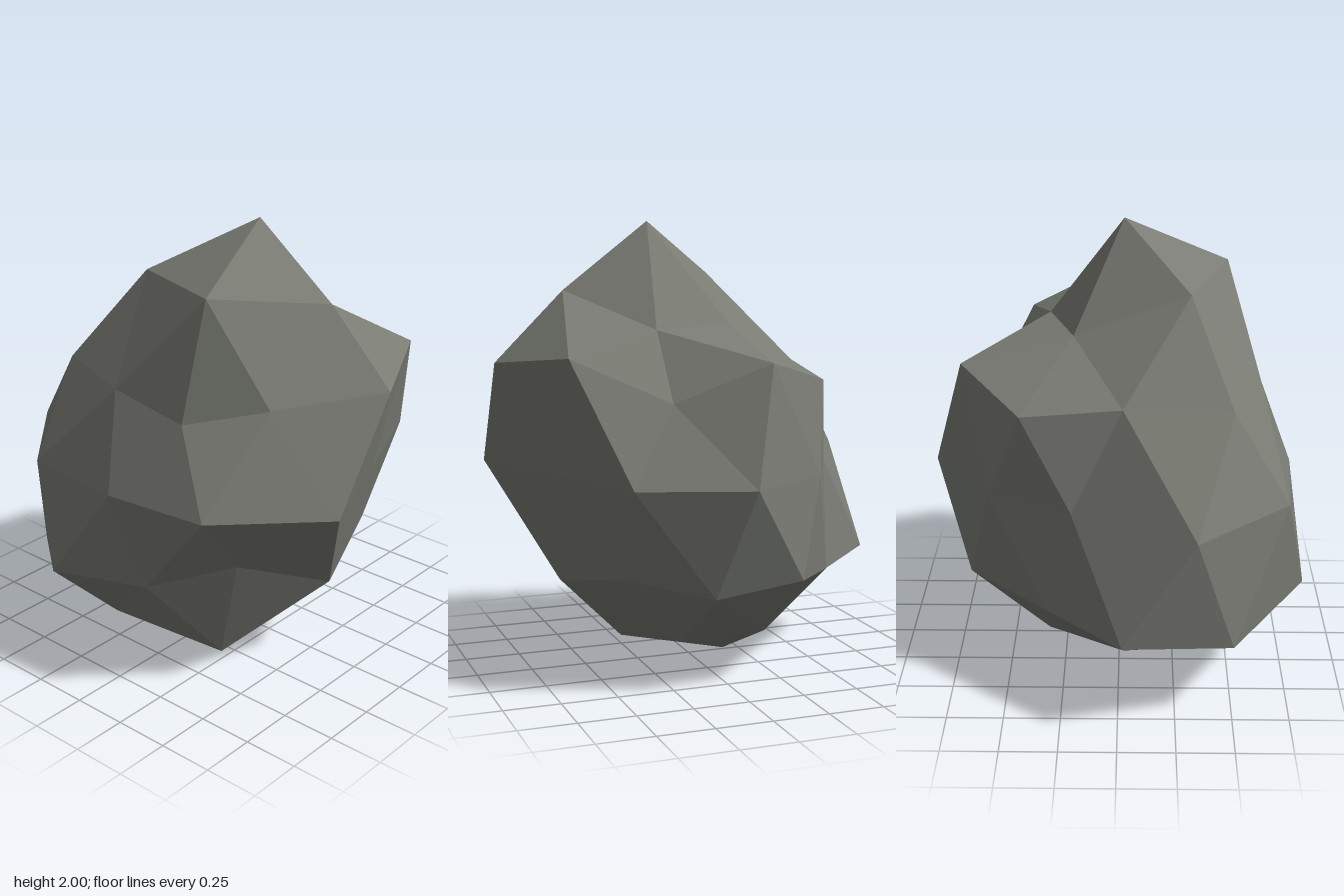
import * as THREE from 'three';

// Faceted boulder: a subdivided icosahedron described as rings of points
// from top to bottom, each ring running from +x round through +z.
const top = [0.19, 2.0, 0.02];
const crown = [[0.58, 1.7, 0.02], [0.3, 1.78, 0.49], [-0.2, 1.76, 0.31], [-0.12, 1.55, -0.2], [0.26, 1.54, -0.32]];
const shoulder = [[0.89, 1.39, 0.02], [0.27, 1.26, 0.61], [-0.5, 1.34, 0.49], [-0.48, 1.31, -0.42], [0.27, 1.25, -0.56]];
const shoulderMid = [[0.56, 1.33, 0.39], [-0.09, 1.33, 0.63], [-0.52, 1.36, 0.02], [-0.12, 1.42, -0.7], [0.68, 1.44, -0.43]];
const waist = [[0.88, 0.33], [0.48, 0.725], [0, 0.78], [-0.49, 0.74], [-0.87, 0.33],
  [-0.59, -0.2], [-0.4, -0.57], [0, -0.84], [0.48, -0.68], [0.67, -0.2]].map(([x, z]) => [x, 0.915, z]);
const hip = [[0.4, 0.56, 0.41], [-0.32, 0.455, 0.83], [-0.9, 0.44, 0.02], [-0.28, 0.48, -0.67], [0.45, 0.49, -0.44]];
const hipMid = [[0.61, 0.4, 0.02], [0.1, 0.46, 0.67], [-0.73, 0.35, 0.5], [-0.56, 0.43, -0.31], [0.12, 0.43, -0.67]];
const foot = [[0.23, 0.02, 0.32], [-0.29, 0.1, 0.47], [-0.49, 0.22, 0.02], [-0.25, 0.17, -0.32], [0.16, 0.16, -0.32]];
const bottom = [-0.18, 0, 0.02];

function rockGeometry() {
  const positions = [];
  const centre = new THREE.Vector3(0, 0.93, 0);

  // Add a triangle, turning it to face away from the centre
  const tri = (...corners) => {
    const [a, b, c] = corners.map((p) => new THREE.Vector3(...p));
    const normal = b.clone().sub(a).cross(c.clone().sub(a));
    const outward = a.clone().add(b).add(c).divideScalar(3).sub(centre);
    const order = normal.dot(outward) < 0 ? [a, c, b] : [a, b, c];
    order.forEach((v) => positions.push(v.x, v.y, v.z));
  };

  for (let i = 0; i < 5; i++) {
    const next = (i + 1) % 5;
    const prev = (i + 4) % 5;
    const w0 = waist[(2 * i + 9) % 10];
    const w1 = waist[2 * i];
    const w2 = waist[2 * i + 1];

    // cap
    tri(top, crown[i], crown[next]);
    tri(crown[i], shoulder[i], shoulderMid[i]);
    tri(crown[i], shoulderMid[i], crown[next]);
    tri(crown[next], shoulderMid[i], shoulder[next]);
    // upper side
    tri(shoulder[i], w0, w1);
    tri(shoulder[i], w1, shoulderMid[i]);
    tri(shoulderMid[i], w1, w2);
    tri(shoulderMid[i], w2, shoulder[next]);
    // lower side
    tri(w0, hipMid[i], w1);
    tri(w1, hipMid[i], hip[i]);
    tri(w1, hip[i], w2);
    tri(w2, hip[i], hipMid[next]);
    // underside
    tri(hip[i], hipMid[i], foot[i]);
    tri(hip[i], foot[i], hipMid[next]);
    tri(hipMid[i], foot[prev], foot[i]);
    tri(bottom, foot[prev], foot[i]);
  }

  const geometry = new THREE.BufferGeometry();
  geometry.setAttribute('position', new THREE.Float32BufferAttribute(positions, 3));
  geometry.computeVertexNormals();
  return geometry;
}

export function createModel() {
  const stone = new THREE.MeshStandardMaterial({ color: 0x7a7c74 });
  stone.name = 'stone grey';
  stone.flatShading = true;

  const rock = new THREE.Mesh(rockGeometry(), stone);
  rock.name = 'boulder';

  const group = new THREE.Group();
  group.name = 'rock';
  group.add(rock);
  return group;
}
